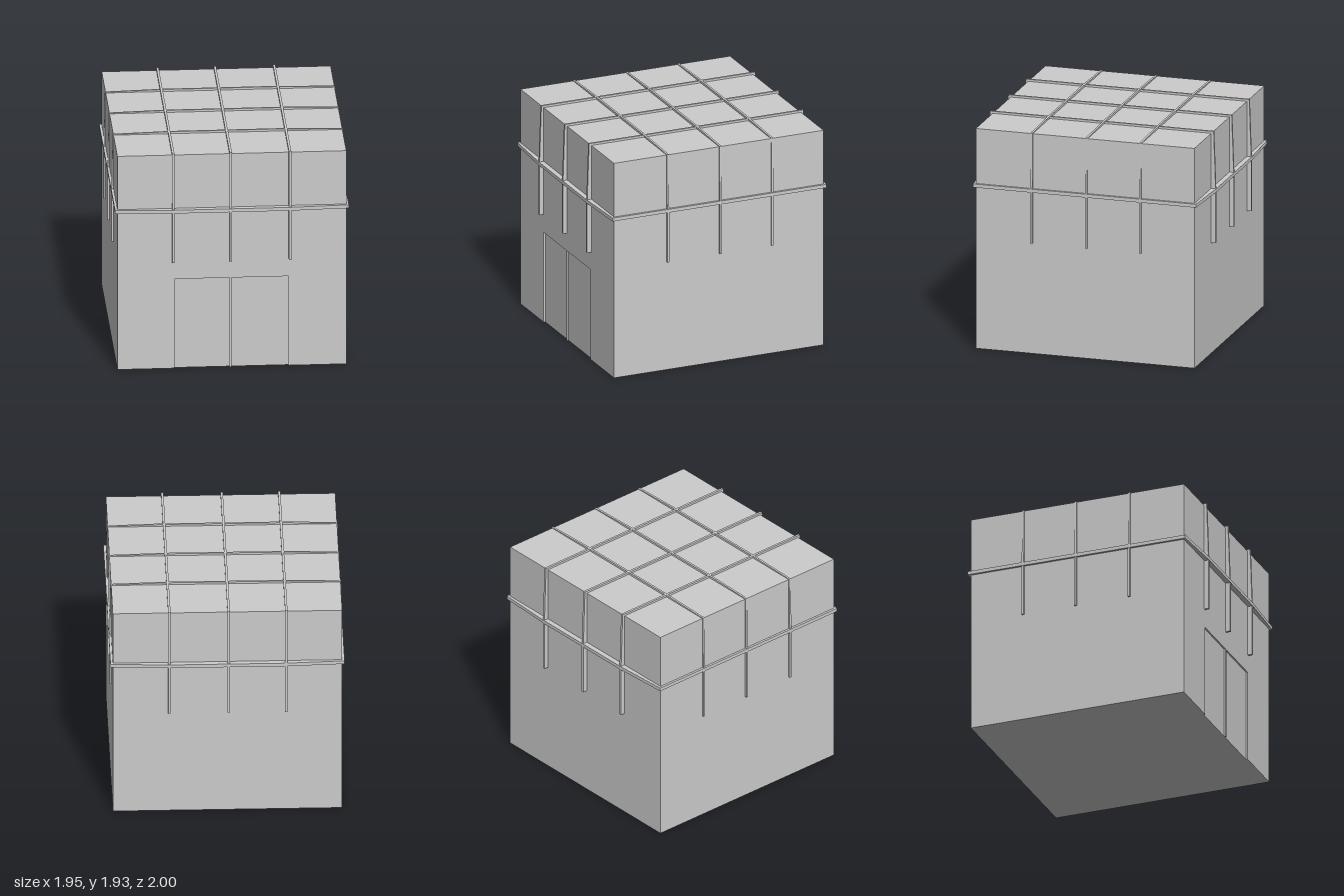
import * as THREE from 'three';

const W = 0.956, H = 1.912;      // crate half width and height
const FACE = 0.942;              // depth of the recessed door face

const shapeOf = (pts) => new THREE.Shape(pts.map(([x, y]) => new THREE.Vector2(x, y)));

export function createModel() {
  const group = new THREE.Group();
  const mat = new THREE.MeshStandardMaterial({ color: 0xcccccc, flatShading: true });
  const add = (name, geometry) => {
    const mesh = new THREE.Mesh(geometry, mat);
    mesh.name = name;
    group.add(mesh);
    return mesh;
  };
  const extrude = (shape, depth) =>
    new THREE.ExtrudeGeometry(shape, { depth, bevelEnabled: false });

  // Main block
  add('body', new THREE.BoxGeometry(2 * W, H, W + FACE).translate(0, H / 2, (FACE - W) / 2));

  // Front skin with the door opening cut out of it
  const front = shapeOf([
    [-W, 0], [-0.48, 0], [-0.48, 0.8], [0.475, 0.8], [0.475, 0], [W, 0], [W, H], [-W, H],
  ]);
  add('frontWall', extrude(front, W - FACE).translate(0, 0, FACE));
  add('doorPost', new THREE.BoxGeometry(0.018, 0.8, W - FACE).translate(-0.01, 0.4, (W + FACE) / 2));

  // A strap hangs down both sides and crosses the top; half is its outer line, bottom to top
  const strap = (half, width) => {
    const mirrored = half.map(([x, y]) => [-x, y]).reverse();
    const inner = [[-W, 0.96], [-W, H - 0.004], [W, H - 0.004], [W, 0.96]];
    return extrude(shapeOf([...half, ...mirrored, ...inner]), width).translate(0, 0, -width / 2);
  };

  // Straps running front to back
  for (const x of [-0.49, -0.01, 0.485]) {
    const geo = strap([[0.995, 0.96], [0.995, 1.4], [0.977, 1.93]], 0.02);
    add('lengthwiseStrap', geo.rotateY(Math.PI / 2).translate(x, 0, 0));
  }

  // Straps running side to side
  for (const z of [-0.485, -0.013, 0.467]) {
    const geo = strap([[0.971, 0.96], [0.971, 1.4], [0.962, 1.918], [0.49, 1.93]], 0.018);
    add('crosswiseStrap', geo.translate(0, 0, z));
  }

  // Belt around the crate, pushed out where it passes over the straps
  const belt = shapeOf([
    [-0.976, -0.976], [-0.49, -1], [0.49, -1], [0.976, -0.976],
    [0.976, 0.976], [0.49, 1], [-0.49, 1], [-0.976, 0.976],
  ]);
  belt.holes.push(shapeOf([[-W, -W], [-W, W], [W, W], [W, -W]]));
  add('belt', extrude(belt, 0.03).rotateX(-Math.PI / 2).translate(0, 1.404, 0));

  return group;
}
